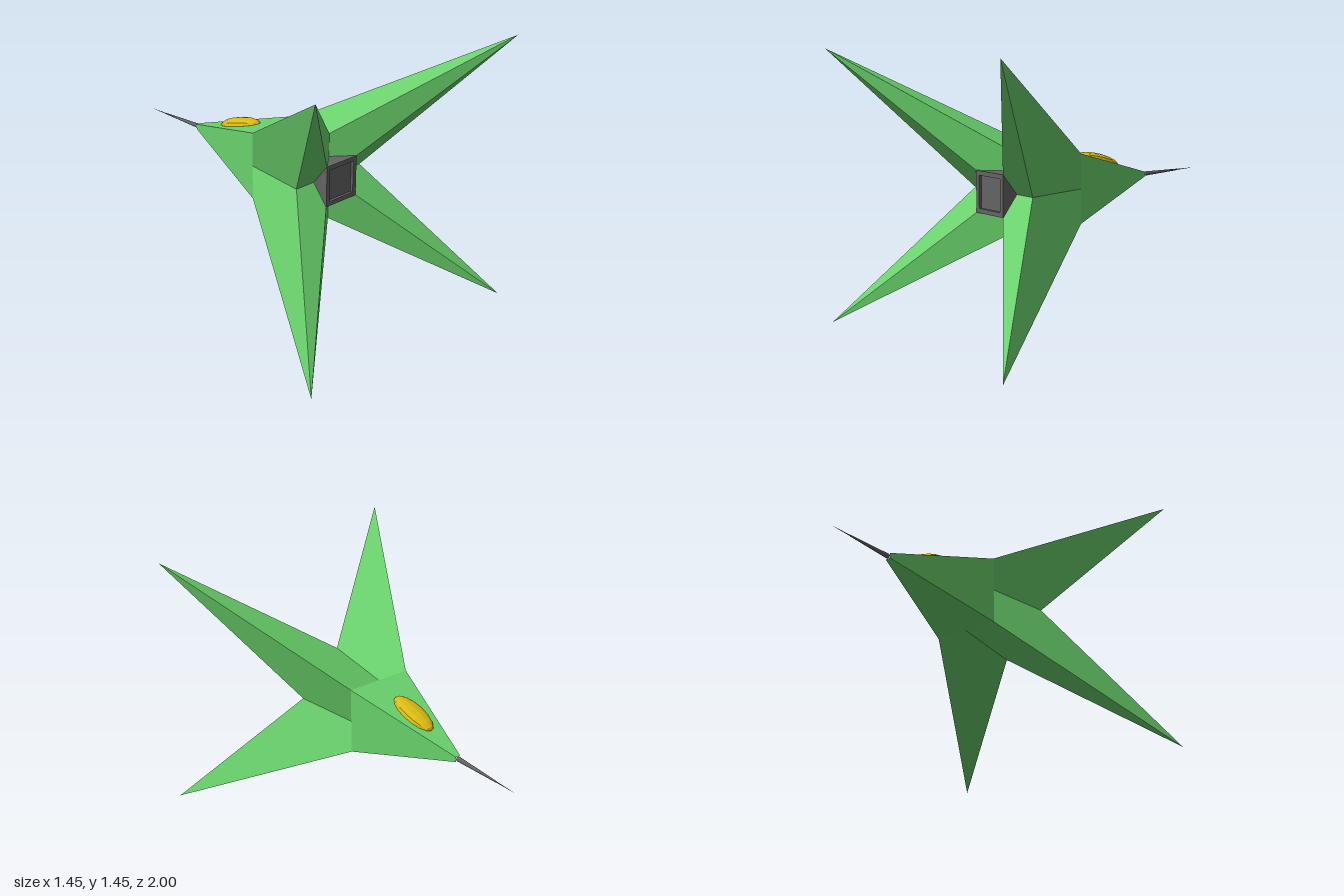
import * as THREE from 'three';

// Flat polygons, each fanned from its first corner and sharing one face normal
function polygons(faces) {
  const pos = [], nor = [];
  for (const f of faces) {
    const n = new THREE.Vector3();
    f.forEach((a, i) => n.add(a.clone().cross(f[(i + 1) % f.length])));
    n.normalize();
    for (let i = 1; i < f.length - 1; i++) {
      for (const p of [f[0], f[i], f[i + 1]]) {
        pos.push(...p.toArray());
        nor.push(...n.toArray());
      }
    }
  }
  const g = new THREE.BufferGeometry();
  g.setAttribute('position', new THREE.Float32BufferAttribute(pos, 3));
  g.setAttribute('normal', new THREE.Float32BufferAttribute(nor, 3));
  return g;
}

const v = (x, y, z) => new THREE.Vector3(x, y, z);
const mirrorX = f => [f[0], ...f.slice(1).reverse()].map(p => v(-p.x, p.y, p.z));

export function createModel() {
  const green = new THREE.MeshStandardMaterial({ color: 0x6ad26c });
  green.name = 'green hull';
  const grey = new THREE.MeshStandardMaterial({ color: 0x646464 });
  grey.name = 'grey metal';
  const yellow = new THREE.MeshStandardMaterial({ color: 0xd8ba12 });
  yellow.name = 'yellow canopy';
  const greyFlat = grey;
  yellow.flatShading = true;

  const root = new THREE.Group();
  root.name = 'starfighter';
  const craft = new THREE.Group();
  craft.name = 'craft';
  craft.position.y = 0.727;
  root.add(craft);

  const add = (name, geometry, material, x = 0, y = 0, z = 0) => {
    const m = new THREE.Mesh(geometry, material);
    m.name = name;
    m.position.set(x, y, z);
    craft.add(m);
    return m;
  };

  // Key points of one quarter of the body
  const h = 0.185, n = 0.014, T = 0.727;
  const corner = v(h, h, 0.04), mid = v(0, h, 0.04);
  const valley = v(0, 0.235, 0.41), core = v(0, 0, 0.41), tip = v(T, T, 1);
  const hullSide = [v(-n, n, -0.6), v(-h, h, 0.04), corner, v(n, n, -0.6)];
  const outer = [corner, mid, valley, tip];
  const inner = [valley, core, tip];

  // Four quarters around the long axis
  const hullGeo = polygons([hullSide]);
  const wingGeo = polygons([outer, mirrorX(outer), inner, mirrorX(inner)]);
  for (let i = 0; i < 4; i++) {
    add('hullSide', hullGeo, green).rotation.z = i * Math.PI / 2;
    add('wingHalves', wingGeo, green).rotation.z = i * Math.PI / 2;
  }

  // Square block between the wings, with a recessed panel
  const square = (s, Type) => new Type([
    new THREE.Vector2(-s, -s), new THREE.Vector2(s, -s),
    new THREE.Vector2(s, s), new THREE.Vector2(-s, s),
  ]);
  const frame = square(0.11, THREE.Shape);
  frame.holes.push(square(0.086, THREE.Path));
  add('blockFrame', new THREE.ExtrudeGeometry(frame, { depth: 0.1, bevelEnabled: false }), greyFlat, 0, 0, 0.4);
  add('blockPanel', new THREE.BoxGeometry(0.174, 0.174, 0.08), greyFlat, 0, 0, 0.445);

  // Nose spike: tapered base and thin needle
  const base = new THREE.CylinderGeometry(0.004, 0.013, 0.28, 8).rotateX(-Math.PI / 2);
  add('noseSpike', base, grey, 0, 0, -0.74);
  const needle = new THREE.CylinderGeometry(0.0005, 0.003, 0.12, 8).rotateX(-Math.PI / 2);
  add('noseNeedle', needle, grey, 0, 0, -0.94);

  // Faceted canopy lying along the sloping top of the hull
  const canopy = new THREE.SphereGeometry(1, 12, 8).rotateX(Math.PI / 2).scale(0.062, 0.037, 0.148);
  add('canopy', canopy, yellow, 0, 0.108, -0.25).rotation.x = -Math.atan2(h - n, 0.64);

  return root;
}
